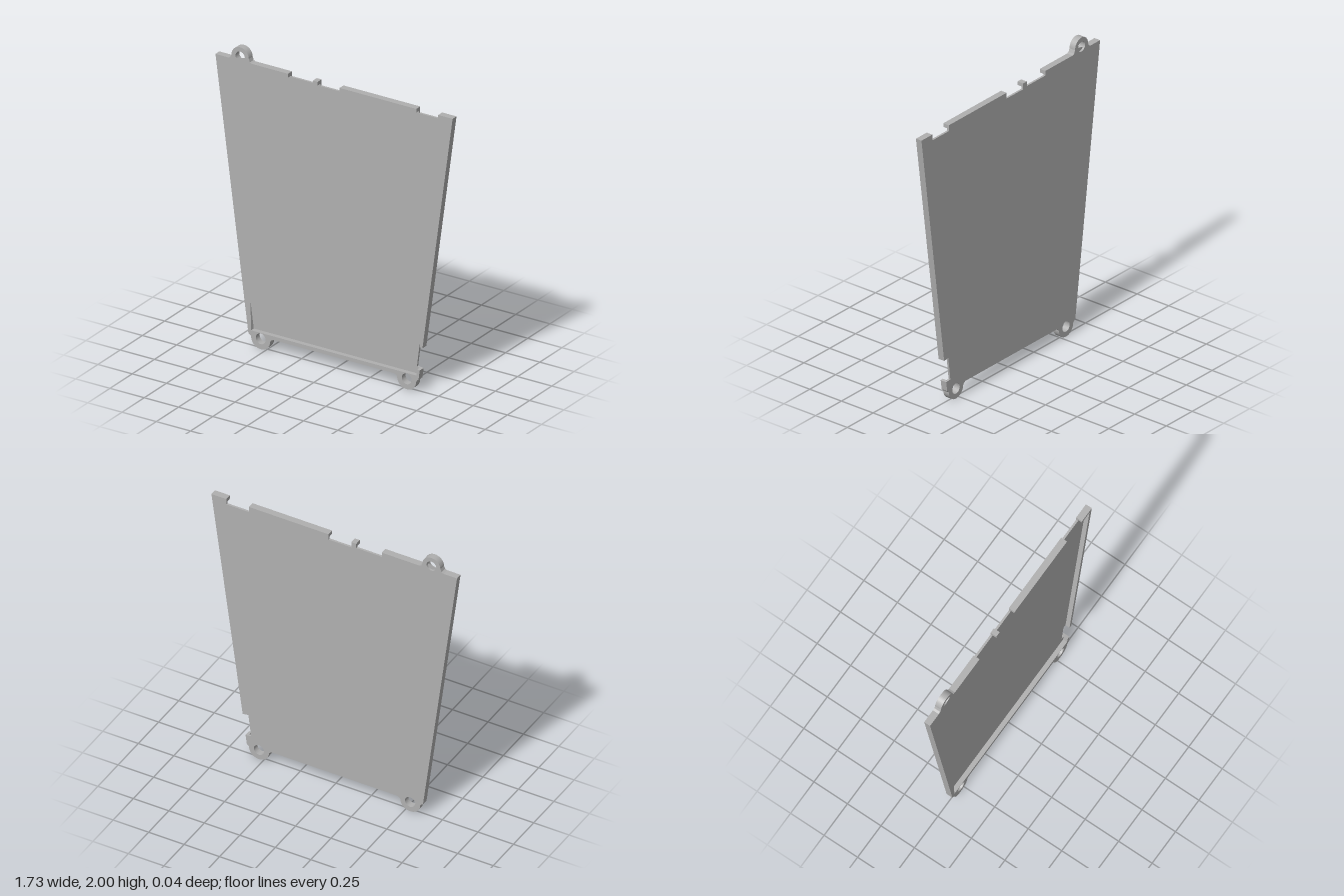
import * as THREE from 'three';

const BACK = -0.022, FLOOR = -0.008, FRONT = 0.022;

// Rounded ear on an edge, with small flared feet; dir -1 points down, +1 up
function ear(cx, cy, r, edgeY, dir) {
  const start = dir < 0 ? Math.PI : 0, pts = [];
  const foot = (s) => [[cx + s * (r + 0.023), edgeY], [cx + s * (r + 0.008), edgeY + dir * 0.006]];
  pts.push(...foot(dir));
  for (let i = 0; i <= 24; i++) {
    const a = start + (i / 24) * Math.PI;
    pts.push([cx + r * Math.cos(a), cy + r * Math.sin(a)]);
  }
  pts.push(...foot(-dir).reverse());
  return pts;
}

const ears = [[-0.535, 0.07, 0.036], [0.53, 0.07, 0.036], [-0.685, 1.937, 0.034]];

// Edge runs shared by floor and rim, counter-clockwise
const bottomEdge = [
  [-0.625, 0.085], ...ear(-0.535, 0.07, 0.07, 0.085, -1).slice(1),
  ...ear(0.53, 0.07, 0.07, 0.085, -1).slice(0, -1),
  [0.616, 0.085], [0.625, 0.15],
];
const topLeftEdge = [[-0.335, 1.91], ...ear(-0.685, 1.937, 0.063, 1.91, 1), [-0.865, 1.91]];

function slab(points, z0, z1, material, name, drilled) {
  const shape = new THREE.Shape(points.map(([x, y]) => new THREE.Vector2(x, y)));
  if (drilled) {
    for (const [x, y, r] of ears) {
      shape.holes.push(new THREE.Path().absarc(x, y, r, 0, Math.PI * 2, true));
    }
  }
  const geo = new THREE.ExtrudeGeometry(shape, { depth: z1 - z0, bevelEnabled: false, curveSegments: 16 });
  geo.translate(0, 0, z0);
  const mesh = new THREE.Mesh(geo, material);
  mesh.name = name;
  return mesh;
}

export function createModel() {
  const group = new THREE.Group();
  group.name = 'coverPanel';
  const grey = new THREE.MeshStandardMaterial({ color: 0xb0b0b0 });
  grey.name = 'grey';

  // Back plate with notches in the top edge and lower side
  const plate = [
    ...bottomEdge, [0.585, 0.155], [0.605, 0.31], [0.645, 0.305], [0.865, 1.91],
    [0.76, 1.91], [0.76, 1.87], [0.6, 1.87], [0.6, 1.91],
    [0.04, 1.91], [0.04, 1.87], [-0.12, 1.87], [-0.12, 1.91],
    [-0.155, 1.91], [-0.155, 1.878], [-0.335, 1.878], ...topLeftEdge,
  ];
  group.add(slab(plate, BACK, FLOOR, grey, 'backPlate', true));

  // Raised rim, broken by the notches
  const mainRim = [
    ...bottomEdge, [0.606, 0.153], [0.6, 0.11], [-0.605, 0.11],
    [-0.84, 1.885], [-0.335, 1.885], ...topLeftEdge,
  ];
  group.add(slab(mainRim, FLOOR, FRONT, grey, 'mainRim', true));
  const sideRim = [
    [0.626, 0.307], [0.645, 0.305], [0.865, 1.91], [0.76, 1.91], [0.76, 1.885], [0.84, 1.885],
  ];
  group.add(slab(sideRim, FLOOR, FRONT, grey, 'sideRim', false));
  for (const [x0, x1, name] of [[0.04, 0.6, 'topRim'], [-0.155, -0.12, 'topTooth']]) {
    const y0 = 1.885;
    group.add(slab([[x0, y0], [x1, y0], [x1, 1.91], [x0, 1.91]], FLOOR, FRONT, grey, name, false));
  }
  return group;
}
